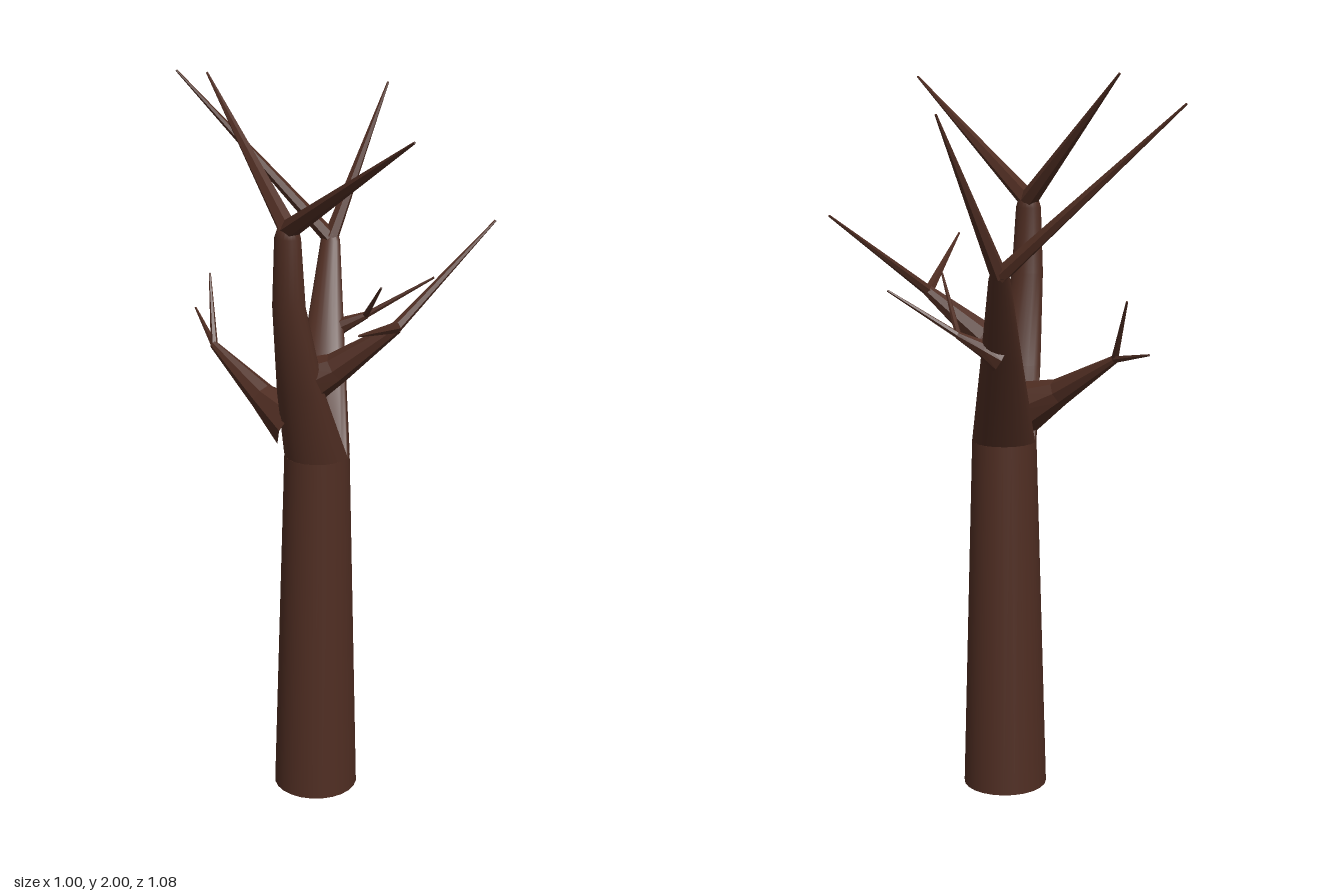
import * as THREE from 'three';

const V = (p) => new THREE.Vector3(...p);
const TAU = Math.PI * 2;
const smoothBark = new THREE.MeshStandardMaterial({ color: 0x4f2d22 });
const facetBark = new THREE.MeshStandardMaterial({ color: 0x4f2d22, flatShading: true });

// Skin a list of equal-sized rings, closing the far end
function loft(rings) {
  const n = rings[0].length, pos = [], index = [];
  rings.forEach((ring) => ring.forEach((p) => pos.push(p.x, p.y, p.z)));
  for (let j = 0; j < rings.length - 1; j++) {
    for (let i = 0; i < n; i++) {
      const k = (i + 1) % n;
      const a = j * n + i, b = j * n + k, c = a + n, d = b + n;
      index.push(a, c, b, b, c, d);
    }
  }
  const last = (rings.length - 1) * n;
  for (let i = 1; i < n - 1; i++) index.push(last, last + i + 1, last + i);
  const g = new THREE.BufferGeometry();
  g.setAttribute('position', new THREE.Float32BufferAttribute(pos, 3));
  g.setIndex(index);
  g.computeVertexNormals();
  return g;
}

// Horizontal elliptical ring; side +1 / -1 keeps only the front / back half of a circle
function flatRing([x, y, z], rx, rz, side = 0, n = 20) {
  return Array.from({ length: n }, (_, i) => {
    const a = (i / n) * TAU;
    let s = Math.sin(a);
    if (side) s = side * Math.max(0, side * s);
    return new THREE.Vector3(x + Math.cos(a) * rx, y, z + s * rz);
  });
}

// Tapering branch with rings square to its path
function branchGeometry(points, radii, n) {
  const path = points.map(V);
  const up = new THREE.Vector3(0, 1, 0);
  const rings = path.map((p, j) => {
    const t = path[Math.min(j + 1, path.length - 1)].clone()
      .sub(path[Math.max(j - 1, 0)]).normalize();
    const u = up.clone().cross(t).normalize();
    const v = u.clone().cross(t);
    return Array.from({ length: n }, (_, i) => {
      const a = (i / n) * TAU;
      return p.clone().addScaledVector(u, Math.cos(a) * radii[j])
        .addScaledVector(v, Math.sin(a) * radii[j]);
    });
  });
  return loft(rings);
}

export function createModel() {
  const tree = new THREE.Group();
  tree.name = 'bareTree';
  const add = (name, geometry, material) => {
    const mesh = new THREE.Mesh(geometry, material);
    mesh.name = name;
    tree.add(mesh);
    return mesh;
  };

  // Trunk
  add('trunk', new THREE.CylinderGeometry(0.089, 0.117, 1, 24), smoothBark)
    .position.set(0.079, 0.5, 0.03);

  // Two main limbs, each growing out of one half of the trunk top
  const crotch = [0.079, 1, 0.03];
  add('frontLimb', loft([
    flatRing(crotch, 0.089, 0.089, 1),
    flatRing([0.07, 1.2, 0.125], 0.067, 0.038),
    flatRing([0.056, 1.45, 0.176], 0.044, 0.036),
    flatRing([0.053, 1.63, 0.177], 0.035, 0.028),
    flatRing([0.053, 1.66, 0.175], 0.026, 0.02),
  ]), smoothBark);
  add('backLimb', loft([
    flatRing(crotch, 0.089, 0.089, -1),
    flatRing([0.026, 1.25, -0.162], 0.058, 0.038),
    flatRing([-0.022, 1.5, -0.332], 0.028, 0.02),
    flatRing([-0.022, 1.52, -0.338], 0.018, 0.014),
  ]), smoothBark);

  // Side branches: path and radii
  const branches = {
    leftBranch: [[[0.09, 1.235, 0.1], [0.16, 1.275, 0.098], [0.32, 1.4, 0.09]], [0.062, 0.042, 0.016]],
    rightBranch: [[[0.03, 1.09, 0.06], [-0.08, 1.145, 0.03], [-0.25, 1.255, -0.03]], [0.075, 0.038, 0.011]],
    backBranch: [[[0.02, 1.27, -0.19], [0.06, 1.295, -0.205], [0.13, 1.33, -0.213]], [0.04, 0.023, 0.01]],
  };
  for (const [name, [points, radii]] of Object.entries(branches)) {
    add(name, branchGeometry(points, radii, 8), facetBark);
  }

  // Twigs: a pair of tips at every fork, with the starting radius
  const forks = {
    frontLimbTwig: [[0.053, 1.65, 0.173], 0.026, [-0.25, 2, -0.015], [0.5, 1.97, 0.53]],
    backLimbTwig: [[-0.022, 1.505, -0.334], 0.022, [-0.5, 1.94, -0.36], [0.07, 1.915, -0.54]],
    leftBranchTwig: [[0.317, 1.398, 0.09], 0.015, [0.49, 1.63, -0.2], [0.378, 1.51, 0.54]],
    rightBranchTwig: [[-0.247, 1.253, -0.029], 0.01, [-0.38, 1.3, -0.2], [-0.305, 1.425, -0.135]],
    backBranchTwig: [[0.128, 1.329, -0.213], 0.009, [0.31, 1.445, -0.25], [0.235, 1.465, -0.03]],
  };
  for (const [name, [start, r, ...tips]] of Object.entries(forks)) {
    tips.forEach((tip, i) => {
      add(name + (i + 1), branchGeometry([start, tip], [r, 0.003], 6), facetBark);
    });
  }
  return tree;
}
